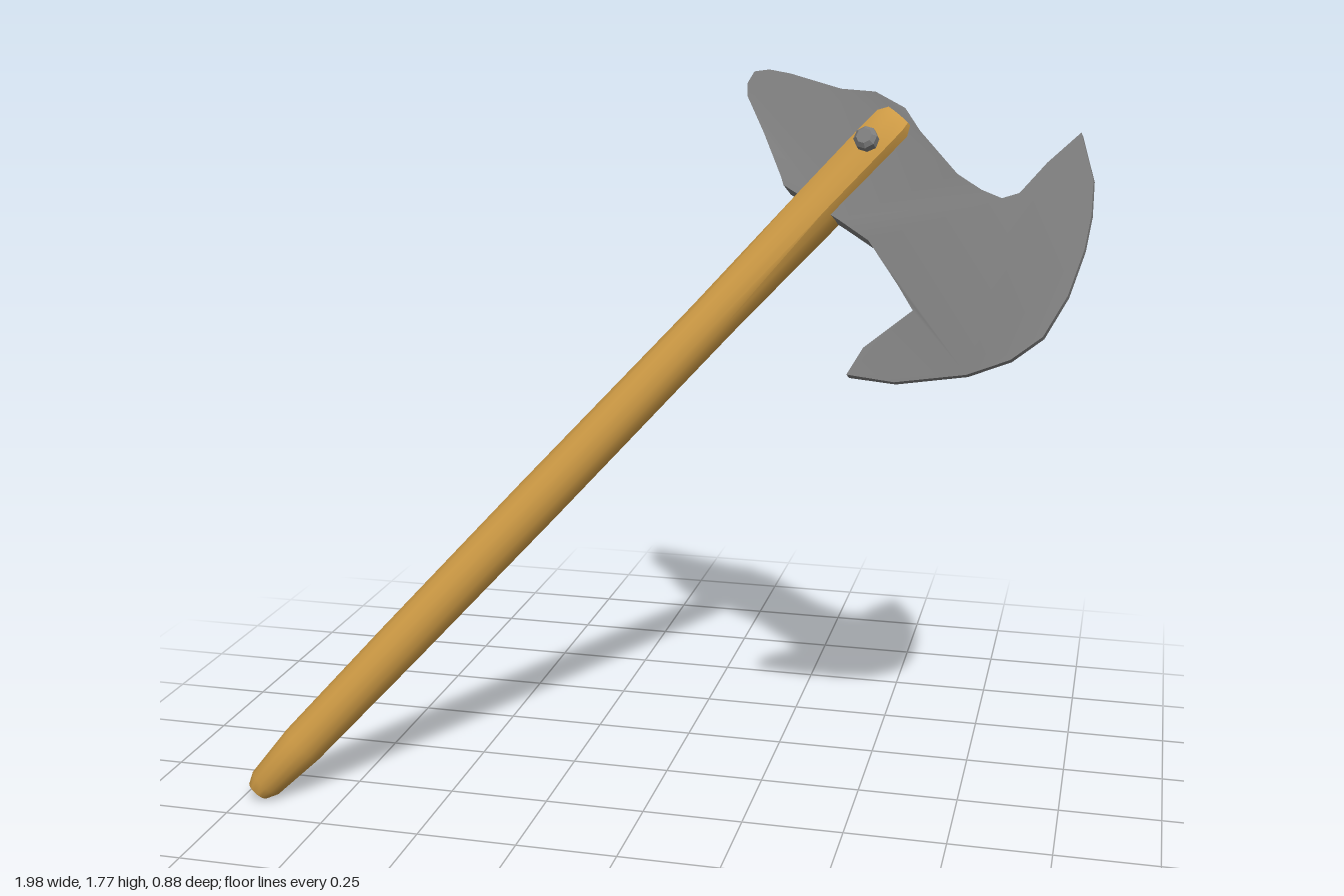
import * as THREE from 'three';
import { toCreasedNormals } from 'three/addons/utils/BufferGeometryUtils.js';

const wood = new THREE.MeshStandardMaterial({ color: 0xcc9944 });
const metal = new THREE.MeshStandardMaterial({ color: 0x7d7d7d });

const points = (list) => list.map(([x, y]) => new THREE.Vector2(x, y));

function part(name, geometry, material, crease) {
  const mesh = new THREE.Mesh(toCreasedNormals(geometry, crease), material);
  mesh.name = name;
  return mesh;
}

// Applies a rule to every vertex
function reshape(geometry, rule) {
  const pos = geometry.attributes.position;
  const p = new THREE.Vector3();
  for (let i = 0; i < pos.count; i++) {
    rule(p.fromBufferAttribute(pos, i));
    pos.setXYZ(i, p.x, p.y, p.z);
  }
  return geometry;
}

// Oval shaft with a blunt foot, turning squarish where it grips the blade
function makeHandle() {
  const shaft = new THREE.LatheGeometry(points([
    [0, -2.22], [0.028, -2.215], [0.042, -2.185], [0.054, -2.05], [0.058, -1.7], [0.06, -1.2],
    [0.058, -0.6], [0.056, -0.2], [0.055, 0], [0.054, 0.075], [0.042, 0.1], [0, 0.104],
  ]), 16);
  reshape(shaft, (p) => {
    const r = Math.hypot(p.x, p.z);
    if (r > 0) {
      const square = THREE.MathUtils.smoothstep(p.y, -0.5, -0.05) * 0.6;
      const k = 1 + square * (Math.min(r / Math.max(Math.abs(p.x), Math.abs(p.z)), 1.3) - 1);
      p.x *= k;
      p.z *= k;
    }
    p.z *= 1.13;
  });
  return part('handle', shaft, wood, 0.75);
}

// Bearded blade and rear spike, thick at the handle and thin at both ends
function makeBlade() {
  const outline = points([
    // rear spike and top edge
    [-0.398, -0.077], [-0.408, -0.042], [-0.378, -0.014], [-0.321, 0.012], [-0.176, 0.062],
    [-0.097, 0.11], [-0.004, 0.125], [0.069, 0.105], [0.221, 0.083], [0.294, 0.091],
    // upper horn
    [0.347, 0.107], [0.37, 0.143], [0.367, 0.24], [0.376, 0.345],
    // cutting edge
    [0.481, 0.277], [0.54, 0.21], [0.588, 0.138], [0.639, 0.031], [0.666, -0.078],
    [0.648, -0.167], [0.595, -0.26], [0.476, -0.386],
    // lower horn
    [0.375, -0.449], [0.358, -0.375], [0.383, -0.231],
    // lower edge back to the spike
    [0.311, -0.21], [0.175, -0.177], [0.078, -0.187], [-0.102, -0.212], [-0.125, -0.2],
    [-0.252, -0.146], [-0.371, -0.101],
  ]);
  const slab = new THREE.ExtrudeGeometry(new THREE.Shape(outline), { depth: 2, bevelEnabled: false });
  slab.translate(0, 0, -1);
  reshape(slab, (p) => {
    p.z *= THREE.MathUtils.lerp(0.03, 0.008, THREE.MathUtils.smoothstep(Math.abs(p.x), 0.08, 0.5));
  });
  return part('axeBlade', slab, metal, 0.6);
}

// Bolt through handle and blade, with chamfered heads
function makeBolt() {
  const bolt = new THREE.LatheGeometry(points([
    [0, -0.09], [0.02, -0.09], [0.03, -0.08], [0.03, 0.08], [0.02, 0.09], [0, 0.09],
  ]), 8);
  bolt.rotateX(Math.PI / 2);
  return part('bolt', bolt, metal, 0.5);
}

export function createModel() {
  const axe = new THREE.Group();
  axe.name = 'axe';
  axe.add(makeHandle(), makeBlade(), makeBolt());

  // Lean the axe: y runs up the handle, z is the blade's face
  const up = new THREE.Vector3(0.641, 0.706, -0.3).normalize();
  const side = new THREE.Vector3().crossVectors(up, new THREE.Vector3(-0.169, 0.512, 0.842)).normalize();
  const face = new THREE.Vector3().crossVectors(side, up);
  axe.quaternion.setFromRotationMatrix(new THREE.Matrix4().makeBasis(side, up, face));
  axe.position.set(0.462, 1.59, -0.26);

  const model = new THREE.Group();
  model.add(axe);
  return model;
}
